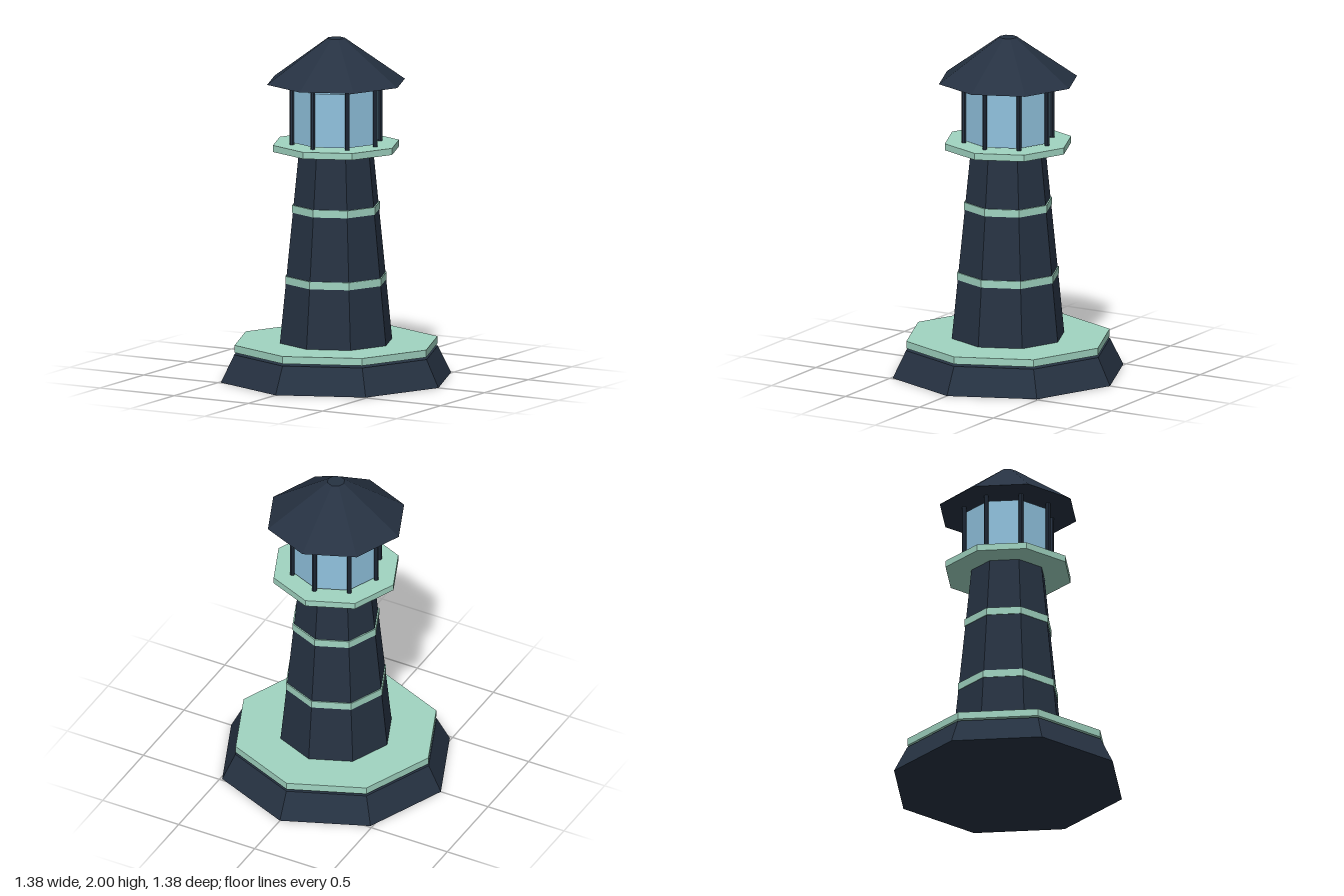
import * as THREE from 'three';

const SIDES = 8;

const material = (name, color) => {
  const m = new THREE.MeshStandardMaterial({ color, flatShading: true });
  m.name = name;
  return m;
};

export function createModel() {
  const navy = material('navy', 0x263242);
  const mint = material('mint', 0xa0d4c1);
  const glass = material('glassBlue', 0x90c2de);

  const model = new THREE.Group();
  model.name = 'lighthouse';

  // Octagonal tier between two heights, with corners on the x and z axes
  const tier = (name, mat, y0, y1, rBottom, rTop = rBottom) => {
    const mesh = new THREE.Mesh(new THREE.CylinderGeometry(rTop, rBottom, y1 - y0, SIDES), mat);
    mesh.name = name;
    mesh.position.y = (y0 + y1) / 2;
    model.add(mesh);
  };

  // Foundation and ground platform
  tier('base', navy, 0, 0.16, 0.69, 0.61);
  tier('basePlatform', mint, 0.173, 0.216, 0.608);

  // Tapered tower with two painted bands
  tier('tower', navy, 0.16, 1.345, 0.342, 0.222);
  tier('lowerBand', mint, 0.565, 0.609, 0.304);
  tier('upperBand', mint, 0.982, 1.026, 0.263);

  // Gallery, lantern room and roof
  tier('gallery', mint, 1.345, 1.384, 0.378);
  tier('lanternGlass', glass, 1.394, 1.71, 0.257);
  tier('roof', navy, 1.742, 2, 0.413, 0.052);

  // Lantern posts, one at each corner
  const posts = new THREE.Group();
  posts.name = 'lanternPosts';
  const postGeometry = new THREE.CylinderGeometry(0.014, 0.014, 0.362, 8);
  for (let i = 0; i < SIDES; i++) {
    const a = (i / SIDES) * Math.PI * 2;
    const post = new THREE.Mesh(postGeometry, navy);
    post.name = 'lanternPost';
    post.position.set(Math.sin(a) * 0.264, 1.563, Math.cos(a) * 0.264);
    posts.add(post);
  }
  model.add(posts);

  return model;
}
